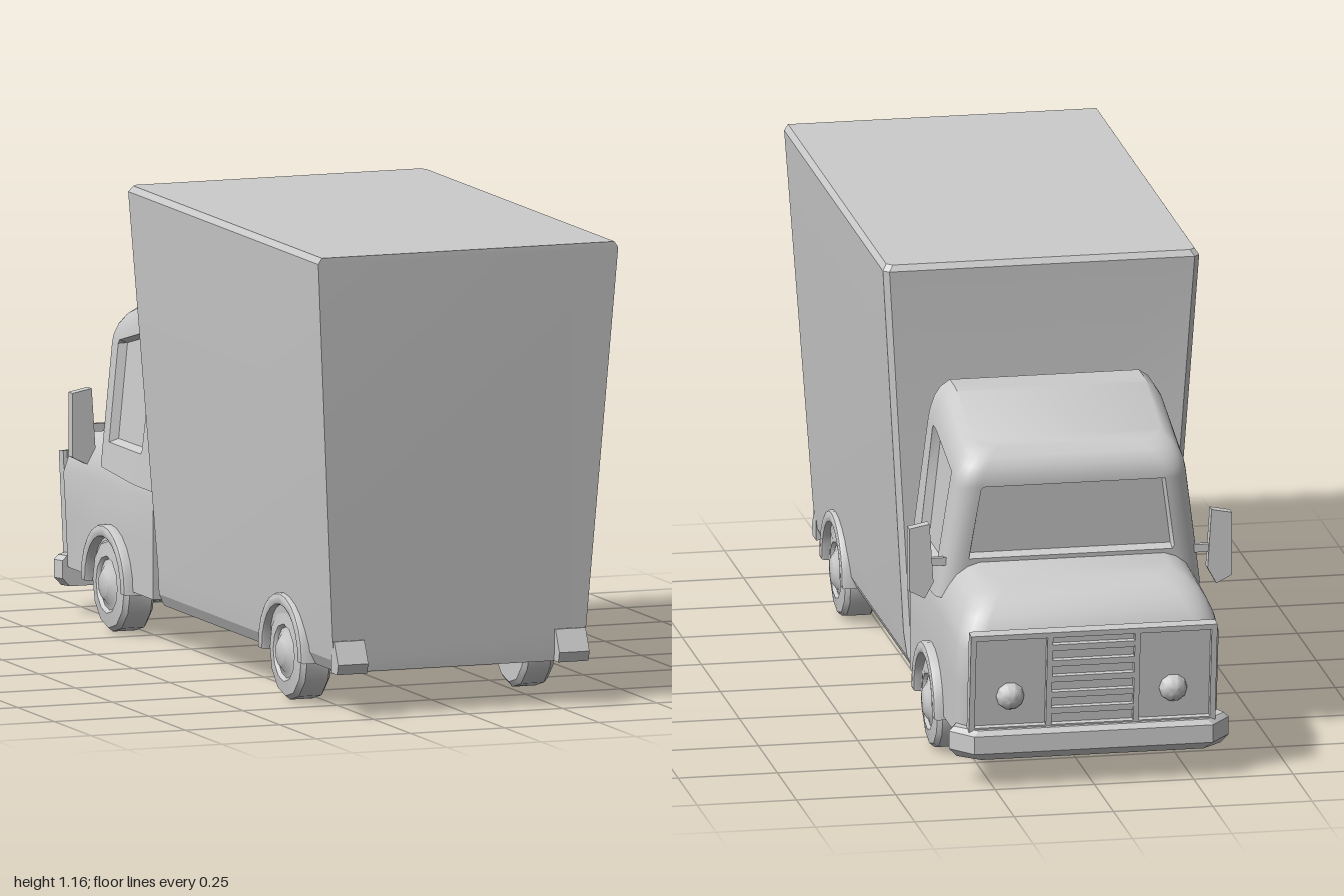
import * as THREE from 'three';
import { toCreasedNormals } from 'three/addons/utils/BufferGeometryUtils.js';

const grey = new THREE.MeshStandardMaterial({ color: 0xcccccc });

function part(name, geometry, crease = 0.6) {
  const mesh = new THREE.Mesh(toCreasedNormals(geometry, crease), grey);
  mesh.name = name;
  return mesh;
}

function mirrored(parent, make) {
  for (const side of [1, -1]) {
    const item = make();
    item.scale.x = side;
    item.name = (side > 0 ? 'left' : 'right') + item.name;
    parent.add(item);
  }
}

// Stacks half rings (x > 0, running from +z to -z), mirrors them and caps both ends.
function loft(halfRings) {
  const rings = halfRings.map(h => [...h, ...h.map(([x, y, z]) => [-x, y, z]).reverse()]);
  const n = rings[0].length, last = (rings.length - 1) * n, index = [];
  const quad = (a, b, c, d) => index.push(a, b, c, a, c, d);
  for (let r = 0; r < rings.length - 1; r++) {
    for (let i = 0; i < n; i++) {
      const j = (i + 1) % n;
      quad(r * n + i, r * n + j, (r + 1) * n + j, (r + 1) * n + i);
    }
  }
  for (let i = 0; i < n / 2 - 1; i++) {
    const a = i, b = i + 1, c = n - 2 - i, d = n - 1 - i;
    quad(last + a, last + b, last + c, last + d);
    quad(d, c, b, a);
  }
  const g = new THREE.BufferGeometry();
  g.setAttribute('position', new THREE.Float32BufferAttribute(rings.flat(2), 3));
  g.setIndex(index);
  return g;
}

// Quarter-circle corner from the side wall (x = w) to the front wall (z = zf).
function corner(w, zf, r, steps = 5) {
  return Array.from({ length: steps + 1 }, (_, i) => {
    const a = (i / steps) * Math.PI / 2;
    return [w - r + r * Math.cos(a), zf + r - r * Math.sin(a)];
  });
}

function extrude(points, depth, bevel = 0) {
  return new THREE.ExtrudeGeometry(new THREE.Shape(points.map(p => new THREE.Vector2(...p))), {
    depth, bevelEnabled: bevel > 0, bevelSize: bevel, bevelThickness: bevel, bevelSegments: 2,
  });
}

function box(name, w, h, d, x, y, z) {
  const mesh = part(name, new THREE.BoxGeometry(w, h, d));
  mesh.position.set(x, y, z);
  return mesh;
}

// Cargo box, widening upward, with chamfered front corners and top edge
function cargoBox() {
  const rows = [ // y, half width, rear z, front z
    [0.11, 0.315, 0.935, -0.28], [0.14, 0.33, 0.938, -0.277], [0.2, 0.337, 0.94, -0.265],
    [1.145, 0.398, 1, -0.312], [1.16, 0.388, 1, -0.302],
  ];
  return part('cargoBox', loft(rows.map(([y, w, zb, zf]) =>
    [[w, y, zb], [w, y, zf + 0.014], [w - 0.014, y, zf]])), 0.3);
}

// Lower cab and rounded hood
function cabBody() {
  const rows = [[0.12, 0], [0.25, 0], [0.37, 0], [0.41, 0.012], [0.44, 0.03], [0.47, 0.055], [0.49, 0.09], [0.5, 0.13]];
  return part('cabBody', loft(rows.map(([y, inset]) => {
    const w = 0.33 - inset * 0.75;
    const zf = -0.935 - 0.03 * Math.min(1, (y - 0.12) / 0.25) + inset;
    const plan = [[w, -0.302], [w, -0.5], [w, -0.7], ...corner(w, zf, 0.06)];
    return plan.map(([x, z]) => [x, y + Math.min(0, z + 0.7) * 0.08 * (y > 0.3 ? 1 : 0), z]);
  })), 0.7);
}

// Upper cab: sloped roof, forward-leaning front, recessed side windows and windscreen
function cabTop() {
  const roof = z => 0.87 - Math.max(0, -0.43 - z) * 0.33;
  const rows = [[-0.2, 0], [0, 0], [0.025, 0], [0.13, 0], [0.16, 0], [0.4, 0], [0.73, 0], [0.755, 0],
    [0.82, 0.002], [0.9, 0.012], [0.96, 0.03], [1, 0.06]];
  return part('cabTop', loft(rows.map(([t, inset]) => {
    const w = 0.325 - 0.045 * t - inset * 0.7;
    const zf = -0.698 - 0.035 * t + inset;
    const zb = -0.308 - 0.033 * t;
    const depth = 0.022;
    const sideIn = t > 0.01 && t < 0.74 ? depth : 0;
    const frontIn = t > 0.14 && t < 0.74 ? depth : 0;
    const lean = 0.03 * t;
    const plan = [
      [w, zb], [w, -0.395], [w - sideIn, -0.402], [w - sideIn, -0.44],
      [w - sideIn, -0.61 - lean], [w, -0.617 - lean],
      ...corner(w, zf, 0.05),
      [w - 0.06, zf], [w - 0.066, zf + frontIn],
    ];
    return plan.map(([x, z]) => [x, 0.47 + t * (roof(z) - 0.47), z]);
  })), 0.6);
}

// Wheel with stepped rim and domed hub
function wheel() {
  const profile = [[0, 0.255], [0.105, 0.255], [0.118, 0.265], [0.118, 0.325], [0.108, 0.337], [0.072, 0.342],
    [0.064, 0.334], [0.05, 0.338], [0.032, 0.352], [0, 0.356]];
  const g = new THREE.LatheGeometry(profile.map(p => new THREE.Vector2(...p)), 12);
  g.rotateZ(-Math.PI / 2);
  return part('Wheel', g, 0.55);
}

// Raised arch around a wheel
function wheelArch() {
  const arc = (r, from, to) => Array.from({ length: 13 }, (_, i) => {
    const a = from + (to - from) * i / 12;
    return [r * Math.cos(a), r * Math.sin(a)];
  });
  const g = extrude([...arc(0.142, 0, Math.PI), ...arc(0.128, Math.PI, 0)], 0.045, 0.008);
  g.rotateY(Math.PI / 2);
  g.translate(0.302, 0, 0);
  return part('WheelArch', g, 0.6);
}

// Leaning grille panel with frame, slats and lamps
function grille() {
  const group = new THREE.Group();
  group.name = 'grille';
  group.add(box('grillePanel', 0.6, 0.26, 0.016, 0, 0.13, 0));
  for (const y of [0.007, 0.253]) group.add(box('grilleRail', 0.62, 0.014, 0.03, 0, y, -0.01));
  for (const x of [-0.303, -0.11, 0.11, 0.303]) group.add(box('grillePost', 0.014, 0.26, 0.03, x, 0.13, -0.01));
  for (let i = 0; i < 5; i++) group.add(box('grilleSlat', 0.21, 0.016, 0.022, 0, 0.05 + i * 0.042, -0.012));
  for (const x of [-0.205, 0.205]) {
    const lamp = new THREE.SphereGeometry(0.036, 10, 4, 0, Math.PI * 2, 0, Math.PI / 2);
    lamp.rotateX(-Math.PI / 2);
    const mesh = part('headlamp', lamp);
    mesh.position.set(x, 0.09, -0.006);
    group.add(mesh);
  }
  group.position.set(0, 0.14, -0.943);
  group.rotation.x = -0.12;
  return group;
}

// Front bumper with swept-back ends
function frontBumper() {
  const rows = [[0.07, 0.02], [0.09, 0], [0.135, 0], [0.147, 0.012]];
  return part('frontBumper', loft(rows.map(([y, s]) =>
    [[0.34 - s, y, -0.895], [0.352 - s, y, -0.925], [0.3 - s, y, -0.992 + s]])), 0.4);
}

// Wedge block under the rear corners
function rearBumper() {
  const g = extrude([[-0.92, 0.11], [-0.92, 0.19], [-0.945, 0.19], [-0.972, 0.135], [-0.965, 0.11]], 0.08);
  g.rotateY(Math.PI / 2);
  g.translate(0.253, 0, 0);
  return part('RearBumper', g, 0.3);
}

// Door mirror on a short arm
function mirror() {
  const group = new THREE.Group();
  group.name = 'Mirror';
  const g = extrude([[0.345, 0.45], [0.367, 0.41], [0.406, 0.43], [0.406, 0.59], [0.355, 0.6]], 0.028);
  g.translate(0, 0, -0.686);
  group.add(part('mirrorHead', g, 0.3), box('mirrorArm', 0.06, 0.02, 0.014, 0.33, 0.5, -0.672));
  return group;
}

export function createModel() {
  const model = new THREE.Group();
  model.name = 'deliveryTruck';
  model.add(cargoBox(), cabBody(), cabTop(), grille(), frontBumper());
  mirrored(model, rearBumper);
  mirrored(model, mirror);

  // Front and rear axles with their wheels and arches
  for (const [name, z] of [['rearAxle', 0.62], ['frontAxle', -0.59]]) {
    const set = new THREE.Group();
    set.name = name;
    set.position.set(0, 0.118, z);
    mirrored(set, wheel);
    mirrored(set, wheelArch);
    const g = new THREE.CylinderGeometry(0.05, 0.05, 0.52, 12);
    g.rotateZ(Math.PI / 2);
    set.add(part('axle', g));
    model.add(set);
  }
  return model;
}
